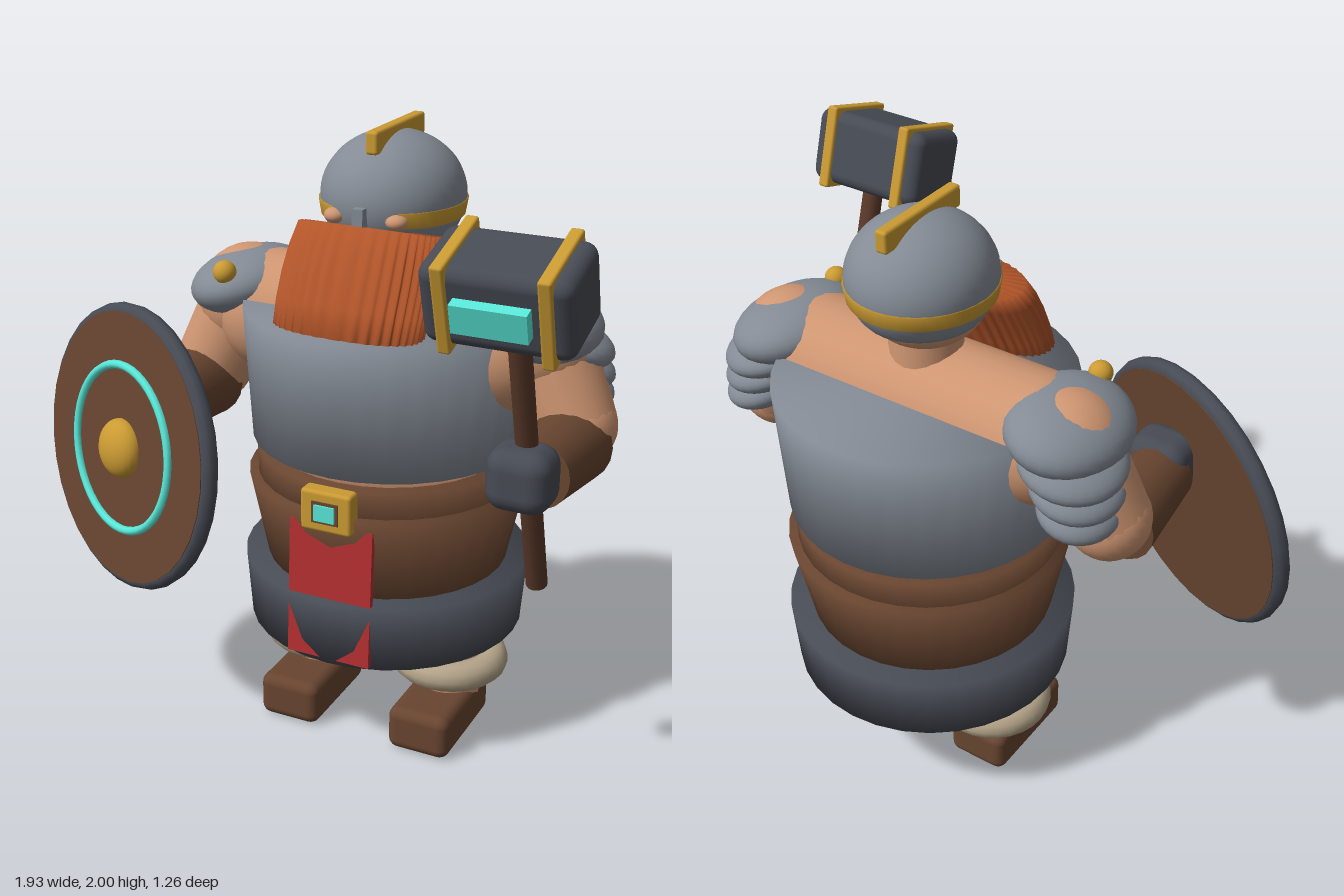
import * as THREE from 'three';
import { mergeVertices } from 'three/addons/utils/BufferGeometryUtils.js';
import { RoundedBoxGeometry } from 'three/addons/geometries/RoundedBoxGeometry.js';

const mat = (name, color, side = THREE.FrontSide) => {
  const m = new THREE.MeshStandardMaterial({ color, side });
  m.name = name;
  return m;
};
const M = {
  skin: mat('skin', 0xcf9672),
  steel: mat('steel', 0x848b95),
  iron: mat('darkIron', 0x474b54),
  leather: mat('leather', 0x684530),
  wood: mat('wood', 0x5a3929),
  beard: mat('beard', 0xb4562a),
  gold: mat('gold', 0xcb9b33, THREE.DoubleSide),
  teal: mat('teal', 0x5cf0e0),
  red: mat('redCloth', 0xb53032),
  fur: mat('fur', 0xb5a58a),
};
const CX = 0.138, CZ = -0.165; // body axis

const V = (x, y, z) => new THREE.Vector3(x, y, z);

function add(parent, name, geo, material, x = 0, y = 0, z = 0) {
  const m = new THREE.Mesh(geo, material);
  m.name = name;
  m.position.set(x, y, z);
  parent.add(m);
  return m;
}
function ball(parent, name, material, x, y, z, rx, ry = rx, rz = rx) {
  return add(parent, name, new THREE.SphereGeometry(1, 28, 18).scale(rx, ry, rz), material, x, y, z);
}
// tapered limb between two points
function limb(parent, name, material, a, b, ra, rb) {
  const m = add(parent, name, new THREE.CylinderGeometry(rb, ra, a.distanceTo(b), 20), material);
  m.position.copy(a).add(b).multiplyScalar(0.5);
  m.quaternion.setFromUnitVectors(V(0, 1, 0), b.clone().sub(a).normalize());
  return m;
}
// body drum with softened cap shading
function drum(parent, name, material, y0, y1, r0, r1) {
  let g = new THREE.CylinderGeometry(r1, r0, y1 - y0, 32);
  g.deleteAttribute('uv');
  g.deleteAttribute('normal');
  g = mergeVertices(g, 1e-4);
  g.computeVertexNormals();
  return add(parent, name, g, material, CX, (y0 + y1) / 2, CZ);
}

// ribbed beard lofted from rippled ovals
function beardGeometry() {
  const rings = [ // y, z centre, half width, half depth
    [1.715, 0.005, 0.222, 0.085], [1.65, 0.047, 0.232, 0.092], [1.58, 0.085, 0.237, 0.093],
    [1.5, 0.125, 0.237, 0.09], [1.4, 0.165, 0.232, 0.088],
  ];
  const n = 216, pos = [], idx = [];
  const p = (v, e) => Math.sign(v) * Math.abs(v) ** e;
  for (const [y, z, w, d] of rings) {
    for (let i = 0; i < n; i++) {
      const a = (i / n) * Math.PI * 2, s = Math.sin(a), c = Math.cos(a);
      const k = 1 + 0.025 * Math.cos(a * 36);
      pos.push(p(c, 0.8) * w * k, y + s * 0.025, z + p(s, 0.8) * d * k);
    }
  }
  for (let r = 0; r < rings.length - 1; r++) {
    for (let i = 0; i < n; i++) {
      const a = r * n + i, b = r * n + (i + 1) % n;
      idx.push(a, b, a + n, b, b + n, a + n);
    }
  }
  const top = pos.length / 3;
  pos.push(0, 1.715, 0, 0, 1.4, 0.165);
  const last = (rings.length - 1) * n;
  for (let i = 0; i < n; i++) {
    const j = (i + 1) % n;
    idx.push(top, j, i, top + 1, last + i, last + j);
  }
  const g = new THREE.BufferGeometry();
  g.setAttribute('position', new THREE.Float32BufferAttribute(pos, 3));
  g.setIndex(idx);
  g.computeVertexNormals();
  return g;
}

function buildTorso(root) {
  const g = new THREE.Group();
  g.name = 'torso';
  root.add(g);
  drum(g, 'chestPlate', M.steel, 1.01, 1.44, 0.438, 0.465);
  drum(g, 'waist', M.skin, 0.9, 1.05, 0.378, 0.378);
  drum(g, 'belt', M.leather, 0.8, 0.972, 0.42, 0.425);
  drum(g, 'belly', M.leather, 0.56, 0.885, 0.385, 0.452);
  drum(g, 'skirt', M.iron, 0.38, 0.6, 0.45, 0.467);
  add(g, 'shoulders', new THREE.CapsuleGeometry(0.2, 0.78, 10, 28).rotateZ(Math.PI / 2), M.skin, CX, 1.36, -0.155);
  add(g, 'tabard', new THREE.BoxGeometry(0.28, 0.455, 0.02), M.red, CX, 0.62, 0.262).rotation.x = -0.05;
  add(g, 'buckle', new RoundedBoxGeometry(0.17, 0.135, 0.06, 2, 0.012), M.gold, CX, 0.905, 0.27);
  add(g, 'buckleSocket', new THREE.BoxGeometry(0.088, 0.07, 0.008), M.leather, CX, 0.905, 0.301);
  add(g, 'buckleGem', new THREE.BoxGeometry(0.068, 0.052, 0.014), M.teal, CX, 0.905, 0.304);
}

function buildHead(root) {
  const g = new THREE.Group();
  g.name = 'head';
  g.position.x = CX;
  root.add(g);
  limb(g, 'neck', M.skin, V(0, 1.45, -0.16), V(0, 1.64, -0.16), 0.115, 0.11);
  ball(g, 'skull', M.skin, 0, 1.69, -0.155, 0.175, 0.125, 0.18);
  // helmet: flattened dome curving in below its widest line
  const dome = [new THREE.Vector2(0, Math.sin(-0.65))];
  for (let i = 0; i <= 22; i++) {
    const a = -0.65 + (i / 22) * (Math.PI / 2 + 0.65);
    dome.push(new THREE.Vector2(Math.max(0, Math.cos(a)), Math.sin(a)));
  }
  add(g, 'helmet', new THREE.LatheGeometry(dome, 32).scale(0.222, 0.195, 0.233), M.steel, 0, 1.783, -0.17);
  // brow band, open over the face
  const band = [[0.93, -0.055], [0.985, -0.055], [1.02, -0.008], [0.98, -0.006]].map(([r, y]) => new THREE.Vector2(r, y));
  add(g, 'helmetBand', new THREE.LatheGeometry(band, 32, 0.5, Math.PI * 2 - 1).scale(0.222, 1, 0.233), M.gold, 0, 1.783, -0.17);
  add(g, 'helmetCrest', new RoundedBoxGeometry(0.04, 0.07, 0.355, 2, 0.01), M.gold, 0, 1.965, -0.178);
  add(g, 'noseGuard', new THREE.BoxGeometry(0.034, 0.1, 0.05), M.steel, 0, 1.74, 0.065);
  for (const s of [-1, 1]) ball(g, 'cheek', M.skin, s * 0.1, 1.75, 0.03, 0.034, 0.024, 0.034);
  add(g, 'beard', beardGeometry(), M.beard);
}

// one arm and shoulder armour; s = +1 left, -1 right
function buildArm(root, s, gloveZ) {
  const g = new THREE.Group();
  g.name = s > 0 ? 'leftArm' : 'rightArm';
  g.position.x = CX;
  root.add(g);
  const X = (x) => s * x;
  const shoulder = V(X(0.5), 1.387, -0.17), elbow = V(X(0.625), 1.15, -0.13);
  ball(g, 'shoulder', M.skin, shoulder.x, shoulder.y, shoulder.z, 0.175);
  limb(g, 'upperArm', M.skin, shoulder, elbow, 0.155, 0.13);
  ball(g, 'elbow', M.skin, elbow.x, elbow.y, elbow.z, 0.13);
  limb(g, 'bracer', M.leather, V(X(0.632), 1.105, -0.1), V(X(0.62), 1.115, 0.2), 0.126, 0.105);
  add(g, 'glove', new RoundedBoxGeometry(0.195, 0.19, 0.17, 3, 0.06), M.iron, X(0.61), 1.14, gloveZ);
  // overlapping armour plates
  ball(g, 'shoulderPlate', M.steel, X(0.5), 1.45, -0.16, 0.182, 0.104, 0.225).rotation.z = -s * 0.22;
  const plates = [[0.545, 1.385, -0.215, 0.165, 0.07, 0.17], [0.57, 1.31, -0.225, 0.143, 0.065, 0.15],
    [0.585, 1.24, -0.235, 0.125, 0.065, 0.135]];
  for (const [x, y, z, a, b, c] of plates) {
    ball(g, 'armPlate', M.steel, X(x), y, z, a, b, c).rotation.set(-0.15, 0, -s * 0.25);
  }
  ball(g, 'shoulderStud', M.gold, X(0.487), 1.52, 0.025, 0.037);
}

function buildLeg(root, s) {
  const g = new THREE.Group();
  g.name = s > 0 ? 'leftLeg' : 'rightLeg';
  g.position.set(CX + s * 0.235, 0, -0.16);
  root.add(g);
  limb(g, 'leg', M.skin, V(0, 0.1, 0), V(0, 0.5, 0), 0.105, 0.125);
  add(g, 'furCuff', new THREE.TorusGeometry(0.145, 0.05, 12, 28).rotateX(Math.PI / 2), M.fur, 0, 0.24, 0);
  add(g, 'boot', new RoundedBoxGeometry(0.212, 0.15, 0.385, 3, 0.035), M.leather, 0, 0.078, 0.082);
}

function buildHammer(root) {
  const g = new THREE.Group();
  g.name = 'hammer';
  g.position.set(0.752, 1.733, 0.467);
  g.rotation.x = 0.3;
  root.add(g);
  add(g, 'hammerShaft', new THREE.CylinderGeometry(0.033, 0.033, 1.05, 12), M.wood, -0.003, -0.55, -0.048);
  add(g, 'hammerHead', new RoundedBoxGeometry(0.42, 0.24, 0.24, 3, 0.04), M.iron);
  for (const s of [-1, 1]) {
    add(g, 'hammerBand', new RoundedBoxGeometry(0.038, 0.265, 0.265, 2, 0.008), M.gold, s * 0.143, 0, 0);
  }
  add(g, 'hammerRune', new THREE.BoxGeometry(0.21, 0.085, 0.04), M.teal, -0.002, 0, 0.135);
}

function buildShield(root) {
  const g = new THREE.Group();
  g.name = 'shield';
  g.position.set(-0.547, 0.995, 0.302);
  g.rotation.set(-0.13, -0.435, 0, 'YXZ');
  root.add(g);
  add(g, 'shieldBoard', new THREE.CylinderGeometry(0.432, 0.432, 0.062, 32).rotateX(Math.PI / 2), M.leather);
  add(g, 'shieldRim', new THREE.TorusGeometry(0.428, 0.03, 10, 32), M.iron);
  add(g, 'shieldRing', new THREE.TorusGeometry(0.265, 0.014, 8, 48), M.teal, 0, 0, 0.035);
  ball(g, 'shieldBoss', M.gold, 0, 0, 0.035, 0.095, 0.095, 0.06);
}

export function createModel() {
  const root = new THREE.Group();
  root.name = 'armouredWarrior';
  buildTorso(root);
  buildHead(root);
  buildArm(root, 1, 0.28);
  buildArm(root, -1, 0.215);
  for (const s of [-1, 1]) buildLeg(root, s);
  buildHammer(root);
  buildShield(root);
  return root;
}
